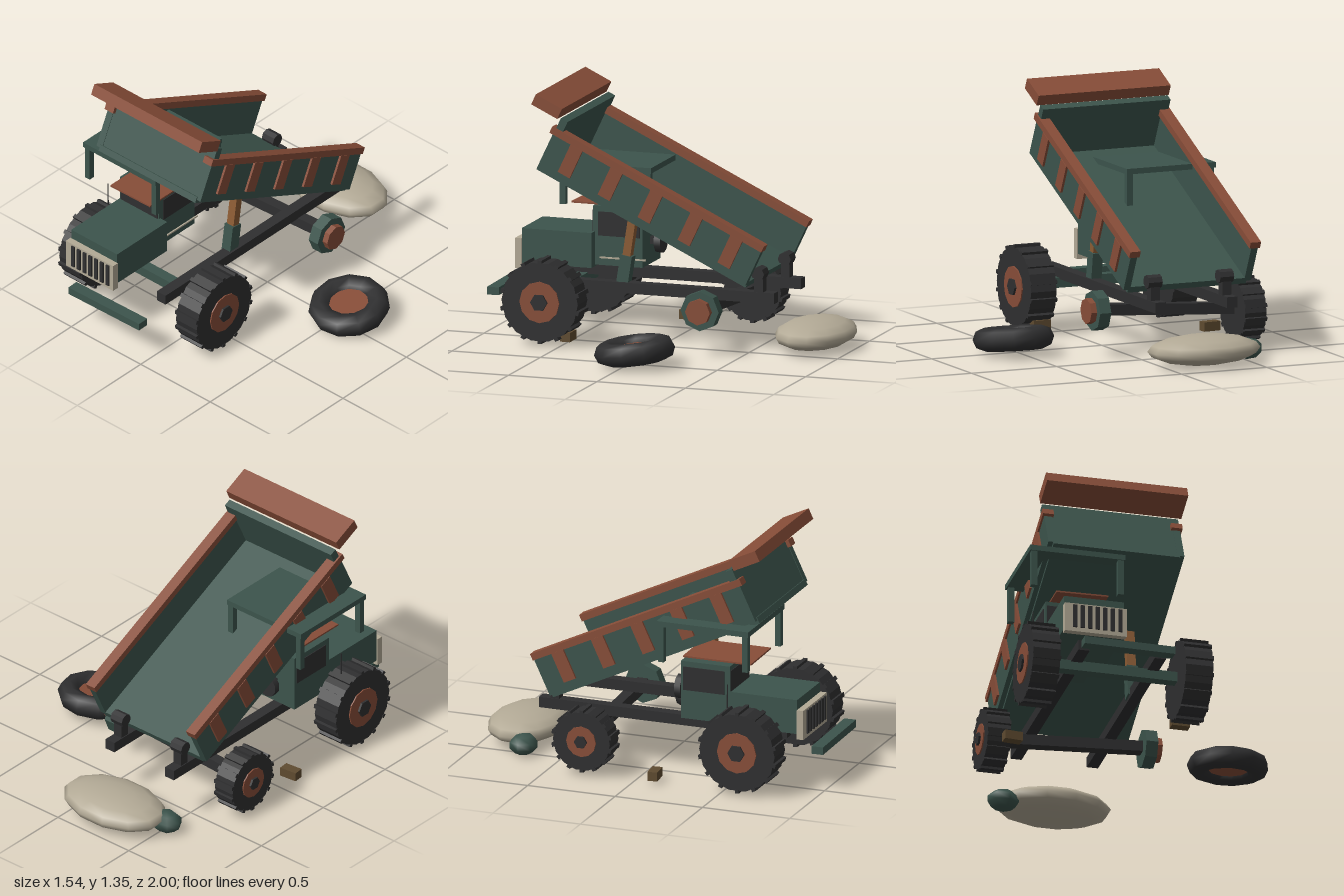
import * as THREE from 'three';

const mat = (name, color) => {
  const m = new THREE.MeshStandardMaterial({ color });
  m.name = name;
  return m;
};

export function createModel() {
  const green = mat('faded green', 0x3c544c);
  const rust = mat('rust', 0x874d38);
  const black = mat('rubber black', 0x2f2f30);
  const cream = mat('cream', 0xb3aa96);
  const wood = mat('orange wood', 0x8c5c34);
  const darkWood = mat('dark wood', 0x5f4b30);

  const root = new THREE.Group();
  root.name = 'brokenDumpTruck';

  const add = (parent, name, geo, material, x = 0, y = 0, z = 0) => {
    const m = new THREE.Mesh(geo, material);
    m.name = name;
    m.position.set(x, y, z);
    parent.add(m);
    return m;
  };
  // box given by its minimum and maximum on each axis
  const box = (parent, name, material, x0, x1, y0, y1, z0, z1) =>
    add(parent, name, new THREE.BoxGeometry(x1 - x0, y1 - y0, z1 - z0), material,
      (x0 + x1) / 2, (y0 + y1) / 2, (z0 + z1) / 2);
  // faceted cylinder lying along x
  const drum = (parent, name, material, r, width, sides, x, y, z) => {
    const g = new THREE.CylinderGeometry(r, r, width, sides).toNonIndexed();
    g.rotateZ(Math.PI / 2);
    g.computeVertexNormals();
    return add(parent, name, g, material, x, y, z);
  };
  const group = (name, x, y, z) => {
    const g = new THREE.Group();
    g.name = name;
    g.position.set(x, y, z);
    root.add(g);
    return g;
  };

  // Chassis
  for (const x of [-0.5, -0.08]) {
    box(root, 'chassisRail', black, x, x + 0.062, 0.272, 0.33, -0.635, 0.785);
    drum(root, 'bedHinge', black, 0.037, 0.08, 8, x + 0.035, 0.43, -0.545);
    box(root, 'hingeBracket', black, x + 0.005, x + 0.06, 0.32, 0.43, -0.57, -0.52);
  }
  box(root, 'frontAxle', green, -0.62, 0.1, 0.225, 0.28, 0.57, 0.63);
  const rearAxle = box(root, 'rearAxle', black, -0.66, 0.14, 0.2, 0.26, -0.32, -0.26);
  rearAxle.rotation.z = 0.06;

  // Wheels: side is the sign of x on which the hub shows
  const wheel = (name, x, y, z, r, width, side) => {
    const w = group(name, x, y, z);
    drum(w, 'tyre', black, r, width, 14, 0, 0, 0);
    for (let i = 0; i < 14; i++) {
      const a = (i / 14) * Math.PI * 2;
      const lug = add(w, 'treadLug', new THREE.BoxGeometry(width * 1.02, 0.02, 0.022), black,
        0, Math.cos(a) * r, Math.sin(a) * r);
      lug.rotation.x = a;
    }
    drum(w, 'rim', rust, r * 0.52, 0.008, 12, side * (width / 2 + 0.003), 0, 0);
    drum(w, 'hub', black, r * 0.22, 0.03, 6, side * (width / 2 + 0.004), 0, 0);
    return w;
  };
  wheel('frontLeftWheel', 0.16, 0.245, 0.6, 0.216, 0.15, 1);
  wheel('frontRightWheel', -0.68, 0.245, 0.6, 0.216, 0.15, -1);
  wheel('rearRightWheel', -0.693, 0.2, -0.29, 0.163, 0.125, -1);

  // Bare rear hub
  drum(root, 'brakeDrum', green, 0.108, 0.065, 8, 0.163, 0.25, -0.29);
  drum(root, 'bareHub', rust, 0.07, 0.035, 8, 0.212, 0.25, -0.29);

  // Fallen wheel lying on the ground
  const fallen = group('fallenWheel', 0.543, 0.09, -0.05);
  fallen.rotation.x = 0.13;
  const ring = new THREE.TorusGeometry(0.158, 0.062, 8, 11);
  ring.rotateX(Math.PI / 2);
  add(fallen, 'fallenTyre', ring, black);
  add(fallen, 'fallenRim', new THREE.CylinderGeometry(0.112, 0.112, 0.05, 8), rust);

  // Hood and grille
  box(root, 'hood', green, -0.605, -0.275, 0.34, 0.53, 0.49, 0.885);
  box(root, 'grille', cream, -0.61, -0.27, 0.312, 0.475, 0.885, 0.922);
  for (let i = 0; i < 7; i++) {
    const x = -0.555 + i * 0.0415;
    box(root, 'grilleSlot', black, x - 0.011, x + 0.011, 0.335, 0.465, 0.922, 0.931);
  }

  // Cab with windows
  box(root, 'cab', green, -0.605, -0.325, 0.35, 0.67, 0.22, 0.5);
  box(root, 'windscreen', black, -0.598, -0.332, 0.53, 0.645, 0.5, 0.505);
  for (const x of [-0.61, -0.325])
    box(root, 'sideWindow', black, x, x + 0.005, 0.51, 0.64, 0.235, 0.47);
  box(root, 'sillTrim', cream, -0.325, -0.317, 0.388, 0.396, 0.2, 0.46);
  const spare = add(root, 'rearDisc', new THREE.CylinderGeometry(0.067, 0.067, 0.035, 10), black,
    -0.465, 0.478, 0.167);
  spare.rotation.x = Math.PI / 2;
  add(root, 'spareMount', new THREE.BoxGeometry(0.04, 0.04, 0.06), black, -0.465, 0.478, 0.2);
  const sheet = add(root, 'looseRoofSheet', new THREE.BoxGeometry(0.285, 0.009, 0.39), rust,
    -0.432, 0.687, 0.415);
  sheet.rotation.z = 0.015;
  add(root, 'marker', new THREE.CylinderGeometry(0.003, 0.004, 0.13, 5), black, -0.678, 0.53, 0.515);

  // Open canopy frame above the cab
  box(root, 'canopyRoof', green, -0.73, -0.208, 0.89, 0.92, 0.13, 0.655);
  for (const x of [-0.722, -0.245])
    for (const z of [0.135, 0.615])
      box(root, 'canopyPost', green, x, x + 0.033, 0.69, 0.89, z, z + 0.033);

  // Hoist
  const hoist = group('hoist', -0.06, 0.31, 0.232);
  hoist.rotation.x = -0.15;
  box(hoist, 'hoistBarrel', green, -0.03, 0.03, -0.02, 0.165, -0.033, 0.033);
  box(hoist, 'hoistRod', wood, -0.024, 0.024, 0.16, 0.39, -0.022, 0.022);

  // Tipped bed: y is across its depth, z runs from 0 at the front to -1.31 at the tail
  const bed = group('tippedBed', -0.257, 0.935, 0.67);
  bed.rotation.x = -0.443;
  box(bed, 'bedFloor', green, -0.348, 0.348, 0, 0.035, -1.308, 0);
  box(bed, 'headboard', green, -0.374, 0.374, 0.025, 0.327, -0.05, -0.008);
  box(bed, 'headboardGuard', rust, -0.388, 0.388, 0.318, 0.38, 0.005, 0.168);
  for (const s of [-1, 1]) {
    const side = new THREE.Group();
    side.name = s > 0 ? 'leftBedSide' : 'rightBedSide';
    bed.add(side);
    const across = (a, b) => (s > 0 ? [a, b] : [-b, -a]);
    box(side, 'sideWall', green, ...across(0.335, 0.374), 0.018, 0.23, -1.308, -0.005);
    box(side, 'topRail', rust, ...across(0.323, 0.384), 0.228, 0.266, -1.312, 0.013);
    for (let i = 0; i < 5; i++) {
      const z = -0.157 - i * 0.25;
      box(side, 'sideRib', rust, ...across(0.37, 0.387), 0.06, 0.23, z - 0.037, z + 0.037);
    }
  }

  // Loose bumper
  const bumper = add(root, 'looseBumper', new THREE.BoxGeometry(0.5, 0.042, 0.066), green,
    -0.272, 0.232, 0.962);
  bumper.rotation.y = 0.02;

  // Wooden chocks
  box(root, 'wheelChock', darkWood, 0.09, 0.19, 0.03, 0.08, 0.445, 0.5);
  const block = add(root, 'looseBlock', new THREE.BoxGeometry(0.1, 0.05, 0.055), darkWood,
    -0.683, 0.045, 0.102);
  block.rotation.y = 0.1;

  // Sack and its tied end
  const sack = new THREE.SphereGeometry(1, 12, 8);
  sack.rotateY(Math.PI / 12);
  sack.scale(0.318, 0.081, 0.208);
  add(root, 'sack', sack, cream, -0.225, 0.091, -0.798);
  const knot = new THREE.SphereGeometry(1, 7, 5);
  knot.scale(0.09, 0.058, 0.078);
  add(root, 'sackKnot', knot, green, -0.518, 0.062, -0.715);

  return root;
}
